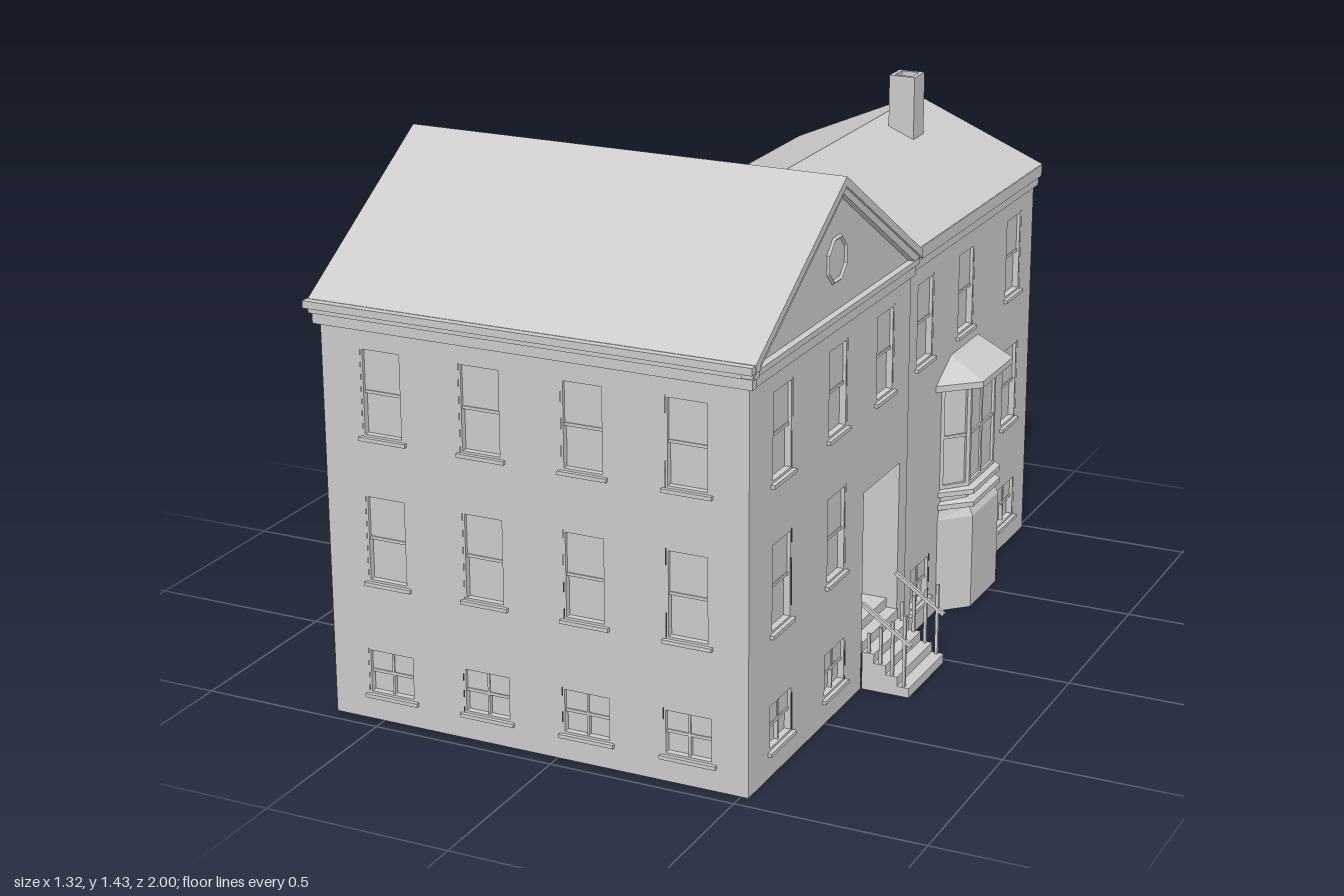
import * as THREE from 'three';

const mat = new THREE.MeshStandardMaterial({ color: 0xcccccc, flatShading: true, side: THREE.DoubleSide });

function add(parent, name, geo, x = 0, y = 0, z = 0) {
  const m = new THREE.Mesh(geo, mat);
  m.name = name;
  m.position.set(x, y, z);
  parent.add(m);
  return m;
}
// box given by its limits
const box = (p, name, x0, x1, y0, y1, z0, z1) =>
  add(p, name, new THREE.BoxGeometry(x1 - x0, y1 - y0, z1 - z0), (x0 + x1) / 2, (y0 + y1) / 2, (z0 + z1) / 2);
const poly = (pts) => new THREE.Shape(pts.map(([x, y]) => new THREE.Vector2(x, y)));
const rect = (x0, x1, y0, y1) => poly([[x0, y0], [x1, y0], [x1, y1], [x0, y1]]);
const extrude = (shape, depth) => new THREE.ExtrudeGeometry(shape, { depth, bevelEnabled: false });

function ring(p, name, x0, x1, y0, y1, t, z0, z1) {
  const s = rect(x0, x1, y0, y1);
  s.holes.push(rect(x0 + t, x1 - t, y0 + t, y1 - t));
  return add(p, name, extrude(s, z1 - z0), 0, 0, z0);
}

// surface through open cross-sections with equal point counts
function loft(rows) {
  const v = [];
  for (let i = 0; i + 1 < rows.length; i++)
    for (let j = 0; j + 1 < rows[i].length; j++) {
      const a = rows[i][j], b = rows[i][j + 1], c = rows[i + 1][j + 1], d = rows[i + 1][j];
      v.push(...a, ...b, ...c, ...a, ...c, ...d);
    }
  const g = new THREE.BufferGeometry();
  g.setAttribute('position', new THREE.Float32BufferAttribute(v, 3));
  g.computeVertexNormals();
  return g;
}

// sash window set in a wall: u is its centre, v0..v1 its height
function sashWindow(w, [u, v0, v1, width]) {
  const a = u - width / 2, b = u + width / 2, mid = (v0 + v1) / 2;
  const low = v1 - v0 < 0.15;
  ring(w, 'windowFrame', a, b, v0, v1, 0.006, -0.025, -0.001);
  box(w, 'upperSash', a, b, mid, v1, -0.014, -0.01);
  box(w, 'lowerSash', a, b, v0, mid, -0.022, -0.018);
  box(w, 'meetingRail', a, b, mid - 0.004, mid + 0.004, -0.02, -0.007);
  if (low) box(w, 'mullion', u - 0.003, u + 0.003, v0, v1, -0.02, -0.007);
  box(w, 'sill', a - 0.008, b + 0.008, v0 - 0.01, v0, -0.01, 0.01);
}

// wall panel: local x runs along it, local z points outwards
function wall(root, name, pos, turn, outline, windows = []) {
  const w = new THREE.Group();
  w.name = name;
  w.position.set(...pos);
  w.rotation.y = turn * Math.PI / 2;
  root.add(w);
  const s = poly(outline);
  for (const [u, v0, v1, width] of windows) s.holes.push(rect(u - width / 2, u + width / 2, v0, v1));
  add(w, name + 'Surface', new THREE.ShapeGeometry(s));
  windows.forEach((d) => sashWindow(w, d));
  return w;
}
const top = (u) => [u, 0.765, 0.998, 0.116];
const middle = (u) => [u, 0.378, 0.612, 0.116];
const basement = (u) => [u, 0.07, 0.195, 0.135];

// recessed porch lining behind a wall opening
function recess(w, u0, u1, v1, d) {
  box(w, 'porchBack', u0, u1, 0.14, v1, -d - 0.004, -d);
  box(w, 'porchCeiling', u0, u1, v1, v1 + 0.004, -d, 0);
  for (const u of [u0, u1]) box(w, 'porchSide', u - 0.002, u + 0.002, 0.1, v1, -d, 0);
}

// steps rising into a recess, with handrails at the given places
function stairs(w, u0, u1, reach, d, rails) {
  const n = 6, rise = 0.157 / n, run = 0.033;
  for (let i = 0; i < n; i++) {
    const out = reach - i * run;
    const end = i === n - 1 ? -d : out - run;
    box(w, 'step', u0, u1, end < 0 ? i * rise : 0, (i + 1) * rise, end, out);
  }
  for (const u of rails) {
    const len = Math.hypot(0.14, 0.095);
    const r = add(w, 'handrail', new THREE.BoxGeometry(0.01, 0.01, len), u, 0.19, reach - 0.068);
    r.rotation.x = Math.atan2(0.095, 0.14);
    for (let i = 0; i < 4; i++) {
      const z = reach - 0.017 - i * run;
      box(w, 'baluster', u - 0.004, u + 0.004, (i + 1) * rise, 0.19 + (reach - 0.068 - z) * -0.68 + i * 0.0 + 0.0, z - 0.004, z + 0.004)
        .scale.y = 1;
    }
  }
}

// octagonal gable light
function gableLight(w, u, v) {
  const o = add(w, 'gableLight', new THREE.TorusGeometry(0.058, 0.006, 4, 8), u, v, 0);
  o.rotation.z = Math.PI / 8;
}

// three-sided bay window, centred on local x = c
function bayWindow(w, c) {
  const bay = new THREE.Group();
  bay.name = 'bayWindow';
  bay.position.x = c;
  w.add(bay);
  const section = ([y, W, F, d]) => [[-W, y, 0], [-F, y, d], [F, y, d], [W, y, 0]];
  const part = (name, levels) => add(bay, name, loft(levels.map(section)));
  part('bayBase', [[0, 0.175, 0.1, 0.075], [0.27, 0.175, 0.1, 0.075], [0.295, 0.165, 0.097, 0.062]]);
  for (const y of [0.295, 0.332])
    part('bayMoulding', [[y, 0.16, 0.095, 0.05], [y + 0.004, 0.175, 0.104, 0.077],
      [y + 0.018, 0.175, 0.104, 0.077], [y + 0.024, 0.16, 0.095, 0.05]]);
  part('bayPanes', [[0.295, 0.155, 0.09, 0.052], [0.65, 0.155, 0.09, 0.052]]);
  part('bayRoof', [[0.65, 0.15, 0.09, 0.045], [0.65, 0.208, 0.115, 0.1], [0.668, 0.208, 0.115, 0.1], [0.725, 0.105, 0.1, 0]]);
  // frames on the front and both slanting faces
  const slant = Math.atan2(0.06, 0.068), sideW = Math.hypot(0.06, 0.068) / 2;
  for (const k of [-1, 0, 1]) {
    const f = new THREE.Group();
    f.name = 'bayFrame';
    f.position.set(k * 0.131, 0, k ? 0.03 : 0.06);
    f.rotation.y = k * slant;
    bay.add(f);
    const h = k ? sideW : 0.097;
    ring(f, 'bayCasing', -h, h, 0.356, 0.65, 0.011, -0.01, 0);
    box(f, 'bayMeetingRail', -h, h, 0.5, 0.508, -0.012, -0.003);
    if (!k) box(f, 'bayMullion', -0.005, 0.005, 0.36, 0.65, -0.012, -0.003);
  }
}

export function createModel() {
  const root = new THREE.Group();
  root.name = 'townHouse';
  const cols = [-0.472, -0.196, 0.083, 0.36];

  // walls of the front block
  wall(root, 'frontWall', [0, 0, 0.96], 0, [[-0.64, 0], [0.52, 0], [0.52, 1.1], [-0.64, 1.1]],
    cols.flatMap((u) => [top(u), middle(u), basement(u)]));
  const right = wall(root, 'rightWall', [0.52, 0, 0], 1,
    [[-0.96, 0], [-0.265, 0], [-0.265, 0.545], [-0.02, 0.545], [-0.02, 0], [0.03, 0], [0.03, 1.1], [-0.46, 1.4], [-0.96, 1.1]],
    [top(-0.135), ...[-0.772, -0.44].flatMap((u) => [top(u), middle(u), basement(u)])]);
  const left = wall(root, 'leftWall', [-0.64, 0, 0], -1,
    [[-0.03, 0], [0.96, 0], [0.96, 1.1], [0.46, 1.41], [-0.03, 1.1]],
    [...[0.14, 0.44, 0.79].flatMap((u) => [top(u), middle(u)]), [0.14, 0.08, 0.16, 0.135], [0.44, 0.08, 0.16, 0.135]]);
  wall(root, 'backWall', [0, 0, -0.03], 2,
    [[0.64, 0], [0.64, 1.1], [0.215, 1.1], [0.215, 0.67], [0.45, 0.49], [0.45, 0]]);
  gableLight(right, -0.46, 1.22);
  gableLight(left, 0.46, 1.22);

  // walls of the rear wing and lean-to
  const wing = wall(root, 'wingRightWall', [0.51, 0, 0], 1, [[0.03, 0], [0.99, 0], [0.99, 1.1], [0.03, 1.1]],
    [top(0.165), basement(0.165), top(0.465), top(0.835), middle(0.835), basement(0.835)]);
  box(root, 'wallStep', 0.505, 0.52, 0, 1.1, -0.032, -0.028);
  wall(root, 'wingLeftWall', [-0.215, 0, 0], -1, [[-0.99, 0.66], [-0.03, 0.66], [-0.03, 1.1], [-0.99, 1.1]],
    [top(-0.78), top(-0.255)]);
  wall(root, 'wingBackWall', [0, 0, -0.99], 2,
    [[-0.51, 0], [0.45, 0], [0.45, 0.485], [0.215, 0.665], [0.215, 1.1], [-0.145, 1.26], [-0.51, 1.1]]);
  const lean = wall(root, 'leanToWall', [-0.45, 0, 0], -1,
    [[-0.99, 0], [-0.21, 0], [-0.21, 0.46], [-0.05, 0.46], [-0.05, 0], [-0.03, 0], [-0.03, 0.485], [-0.99, 0.485]],
    [[-0.54, 0.185, 0.42, 0.116]]);
  bayWindow(wing, 0.465);

  // side entrance with glazed door
  recess(right, -0.265, -0.02, 0.545, 0.1);
  stairs(right, -0.265, -0.02, 0.135, 0.1, [-0.257, -0.028]);
  box(right, 'door', -0.22, -0.07, 0.157, 0.51, -0.1, -0.094);
  ring(right, 'doorFrame', -0.22, -0.07, 0.157, 0.51, 0.018, -0.095, -0.086);
  box(right, 'doorMullion', -0.149, -0.141, 0.17, 0.5, -0.095, -0.088);
  for (const y of [0.23, 0.305, 0.38, 0.448]) box(right, 'doorBar', -0.215, -0.075, y, y + 0.008, -0.095, -0.088);
  add(right, 'doorKnob', new THREE.SphereGeometry(0.008, 10, 8), -0.205, 0.32, -0.08);

  // rear entrance under the lean-to
  recess(lean, -0.21, -0.05, 0.46, 0.1);
  stairs(lean, -0.21, -0.05, 0.15, 0.1, [-0.206]);
  box(lean, 'rearDoor', -0.185, -0.075, 0.157, 0.42, -0.1, -0.094);
  add(lean, 'rearDoorKnob', new THREE.SphereGeometry(0.007, 10, 8), -0.17, 0.29, -0.09);

  // cornices and pediment
  for (const [y0, y1, o] of [[1.045, 1.073, 0.014], [1.073, 1.09, 0.021], [1.09, 1.109, 0.04]]) {
    const e = Math.min(o, 0.024);
    box(root, 'frontCornice', -0.64 - e, 0.52 + e, y0, y1, 0.95, 0.96 + o);
    box(root, 'gableCornice', 0.51, 0.52 + e * 0.8, y0, Math.min(y1, 1.075), -0.03 - e * 0.6, 0.96 + e);
    box(root, 'backCornice', -0.64 - e, -0.215, y0, y1, -0.03 - e * 0.8, -0.02);
  }
  const rake = poly([[-0.98, 1.075], [0.04, 1.075], [0.04, 1.1], [-0.46, 1.415], [-0.98, 1.1]]);
  rake.holes.push(poly([[-0.955, 1.08], [0.025, 1.08], [-0.46, 1.385]]));
  add(right, 'pedimentTrim', extrude(rake, 0.018));
  for (const [x0, x1] of [[0.5, 0.53], [-0.225, -0.2]]) {
    box(root, 'wingEaves', x0, x1, 1.075, 1.108, -1, -0.03);
    box(root, 'wingFrieze', x0 + 0.004, x1 - 0.006, 1.05, 1.075, -0.99, -0.03);
  }

  // roofs
  const roof = add(root, 'mainRoof', extrude(poly([[-0.98, 1.11], [-0.46, 1.43], [0.05, 1.11],
    [0.05, 1.088], [-0.46, 1.405], [-0.98, 1.088]]), 1.205), -0.66, 0, 0);
  roof.rotation.y = Math.PI / 2;
  add(root, 'wingRoof', loft([
    [[0.53, 1.11, -0.05], [0.145, 1.272, 0.2], [-0.225, 1.11, -0.05]],
    [[0.53, 1.11, -1], [0.145, 1.272, -1], [-0.225, 1.11, -1]],
    [[0.53, 1.085, -1], [0.145, 1.247, -1], [-0.225, 1.085, -1]]]));
  add(root, 'leanToRoof', extrude(poly([[-0.455, 0.49], [-0.215, 0.675], [-0.215, 0.655], [-0.455, 0.472]]), 0.965), 0, 0, -0.995);

  // hollow chimney
  const stack = ring(root, 'chimney', 0.185, 0.26, -0.0375, 0.0375, 0.012, 0, 0.18);
  stack.rotation.x = -Math.PI / 2;
  stack.position.set(0, 1.22, -0.7225);
  return root;
}
